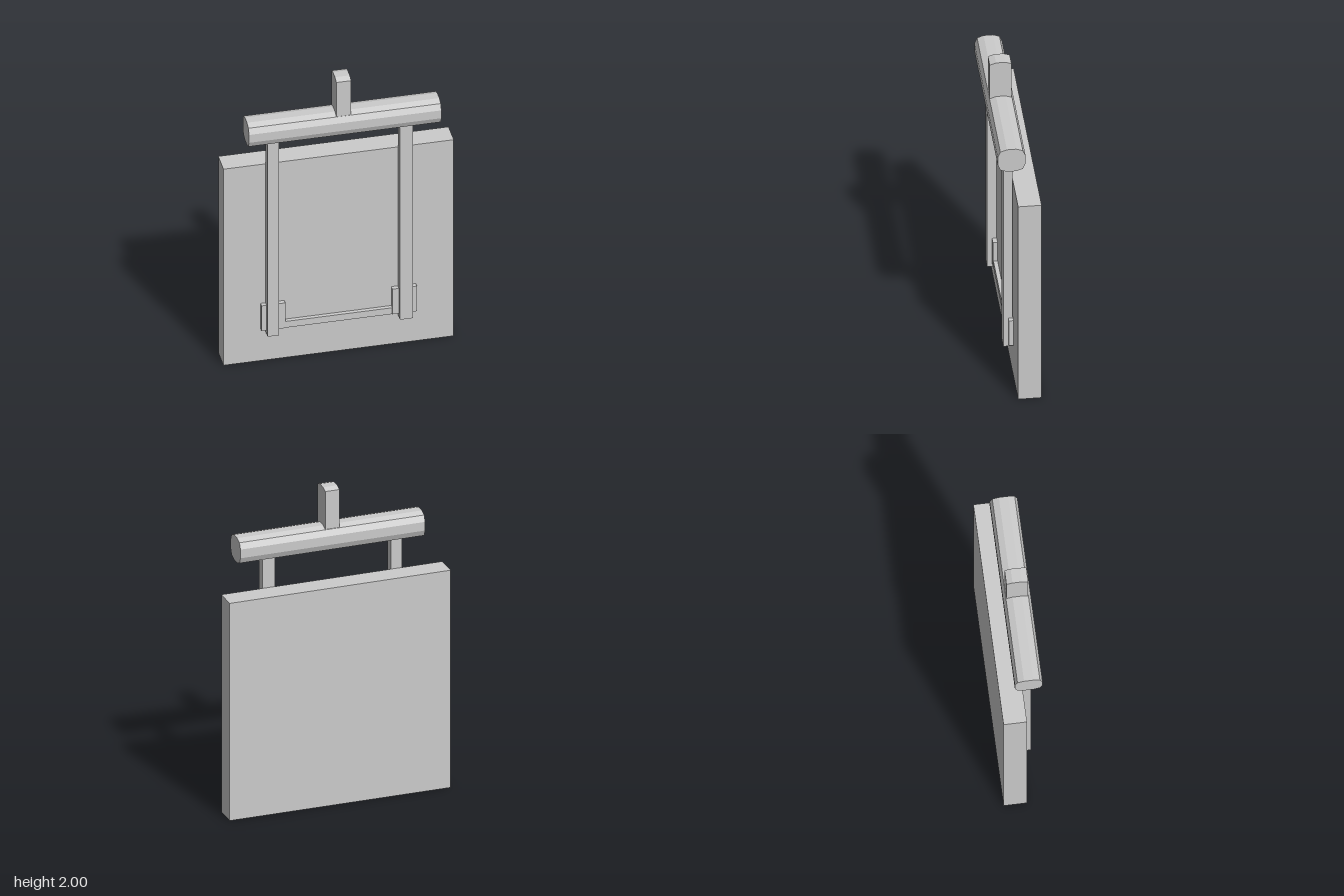
import * as THREE from 'three';

const material = new THREE.MeshStandardMaterial({ color: 0xcccccc, flatShading: true });

export function createModel() {
  const group = new THREE.Group();

  const add = (name, geometry) => {
    const mesh = new THREE.Mesh(geometry, material);
    mesh.name = name;
    group.add(mesh);
  };

  // Box given by its limits on each axis
  const box = (name, [x0, x1], [y0, y1], [z0, z1]) =>
    add(name, new THREE.BoxGeometry(x1 - x0, y1 - y0, z1 - z0)
      .translate((x0 + x1) / 2, (y0 + y1) / 2, (z0 + z1) / 2));

  // Side profile of [z, y] points, swept along x
  const sweep = (name, [x0, x1], profile) => {
    const shape = new THREE.Shape(profile.map(([z, y]) => new THREE.Vector2(z, y)));
    add(name, new THREE.ExtrudeGeometry(shape, { depth: x1 - x0, bevelEnabled: false })
      .rotateY(-Math.PI / 2).translate(x1, 0, 0));
  };

  // Flat panel
  box('panel', [-0.7, 0.7], [0, 1.405], [-0.125, 0.015]);

  // Hanging straps with a clip behind each lower end
  box('rightStrap', [-0.445, -0.375], [0.205, 1.63], [0.017, 0.073]);
  box('leftStrap', [0.36, 0.44], [0.205, 1.63], [0.017, 0.073]);
  box('rightClip', [-0.475, -0.33], [0.23, 0.41], [0.01, 0.043]);
  box('leftClip', [0.32, 0.47], [0.23, 0.41], [0.01, 0.043]);

  // Thin bar joining the clips
  box('lowerCrossbar', [-0.335, 0.325], [0.23, 0.275], [0.01, 0.04]);

  // Twelve-sided top rail, built from one quarter by mirroring
  const quarter = [[0.083, 0.028], [0.067, 0.066], [0.028, 0.08]];
  const half = [...quarter, ...quarter.map(([z, y]) => [-z, y]).reverse()];
  const ring = [...half, ...half.map(([z, y]) => [-z, -y])];
  sweep('topRail', [-0.57, 0.6], ring.map(([z, y]) => [0.042 + z, 1.675 + y]));

  // Post with a chamfered top
  sweep('topPost', [-0.035, 0.055], [
    [-0.022, 1.7], [0.108, 1.7], [0.108, 1.987], [0.07, 2], [0.014, 2], [-0.022, 1.987],
  ]);

  return group;
}
